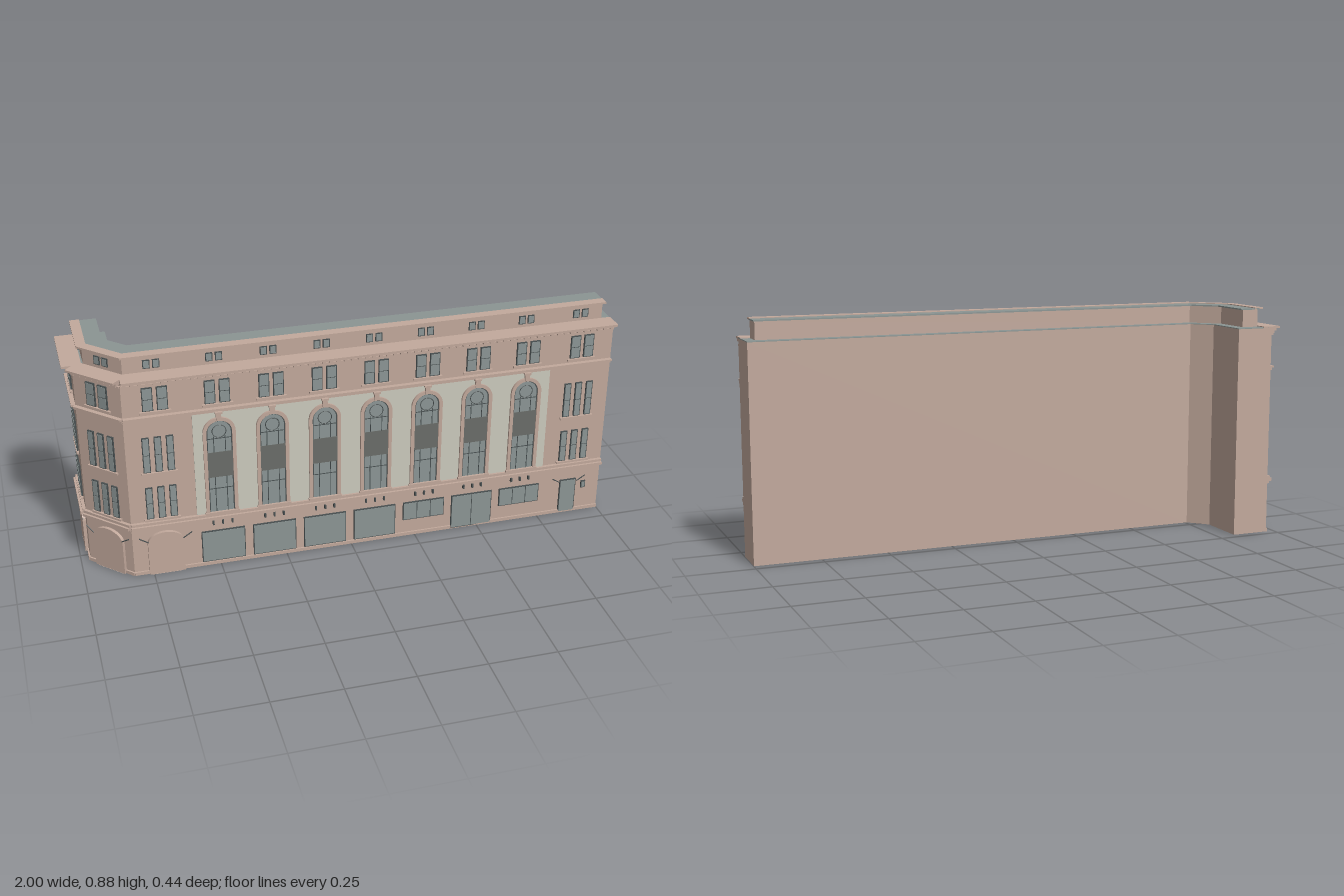
import * as THREE from 'three';

const mat = (name, color, extra = {}) => {
  const m = new THREE.MeshStandardMaterial({ color, ...extra });
  m.name = name;
  return m;
};

export function createModel() {
  const stone = mat('pink stone', 0xc2a99c);
  const cream = mat('cream panel', 0xcccabd);
  const glass = mat('window glass', 0x8c9695);
  const dark = mat('dark frame', 0x4a5152);
  const spandrel = mat('spandrel metal', 0x6a6d69);
  const roofGrey = mat('roof grey', 0x8b9593);

  const model = new THREE.Group();
  model.name = 'cornerBuilding';

  const add = (parent, name, geo, m) => {
    const mesh = new THREE.Mesh(geo, m);
    mesh.name = name;
    parent.add(mesh);
    return mesh;
  };
  // Box given by its centre x, its y range and its z range
  const slab = (p, name, m, x, w, y0, y1, z0, z1) => {
    const mesh = add(p, name, new THREE.BoxGeometry(w, y1 - y0, z1 - z0), m);
    mesh.position.set(x, (y0 + y1) / 2, (z0 + z1) / 2);
    return mesh;
  };
  // Vertical prism over a plan of [x, z] points
  const prism = (name, m, plan, y0, y1) => {
    const shape = new THREE.Shape(plan.map(([x, z]) => new THREE.Vector2(x, -z)));
    const geo = new THREE.ExtrudeGeometry(shape, { depth: y1 - y0, bevelEnabled: false });
    geo.rotateX(-Math.PI / 2).translate(0, y0, 0);
    return add(model, name, geo, m);
  };

  // Round-headed outline, rise is the height of the arch above its springing
  const archPath = (Type, hw, y0, spring, rise) => {
    const p = new Type();
    p.moveTo(-hw, y0);
    p.lineTo(hw, y0);
    p.lineTo(hw, spring);
    p.absellipse(0, spring, hw, rise, 0, Math.PI, false, 0);
    p.lineTo(-hw, y0);
    return p;
  };
  const archPlate = (p, name, m, hw, y0, spring, rise, z1, hole) => {
    const shape = archPath(THREE.Shape, hw, y0, spring, rise);
    if (hole) shape.holes.push(archPath(THREE.Path, ...hole));
    return add(p, name, new THREE.ExtrudeGeometry(shape, { depth: z1, bevelEnabled: false, curveSegments: 16 }), m);
  };

  // Framed rectangular window split into panes
  const windowAt = (p, name, x, w, y0, y1, cols = 1, rows = 1, z = 0) => {
    const g = new THREE.Group();
    g.name = name;
    p.add(g);
    const t = 0.003;
    slab(g, 'frame', dark, x, w, y0, y1, z, z + 0.006);
    const pw = (w - t * (cols + 1)) / cols, ph = (y1 - y0 - t * (rows + 1)) / rows;
    for (let c = 0; c < cols; c++) for (let r = 0; r < rows; r++) {
      const b = y0 + t + r * (ph + t);
      slab(g, 'pane', glass, x - w / 2 + t + pw / 2 + c * (pw + t), pw, b, b + ph, z, z + 0.007);
    }
  };

  // Paired windows of the top storey and the attic
  const upperPairs = (f, x) => {
    for (const s of [-1, 1]) {
      windowAt(f, 'topWindow', x + s * 0.026, 0.038, 0.672, 0.762, 1, 2);
      windowAt(f, 'atticWindow', x + s * 0.017, 0.025, 0.818, 0.85, 1, 1, -0.037);
    }
    slab(f, 'topSill', stone, x, 0.11, 0.662, 0.67, 0, 0.009);
  };
  // Triple slit windows on two storeys
  const sideBay = (f, x) => {
    for (const [y0, y1] of [[0.235, 0.364], [0.427, 0.567]]) {
      for (const k of [-1, 0, 1]) windowAt(f, 'slitWindow', x + k * 0.043, 0.026, y0, y1, 1, 2);
      slab(f, 'slitSill', stone, x, 0.13, y0 - 0.01, y0 - 0.002, 0, 0.009);
    }
    upperPairs(f, x);
  };
  const lamp = (f, x, s) => {
    const rod = add(f, 'lampArm', new THREE.CylinderGeometry(0.002, 0.002, 0.04, 6), dark);
    rod.position.set(x, 0.15, 0.012);
    rod.rotation.z = -s * 1.0;
  };
  // Arched entrance with stone surround
  const archDoor = (f, x) => {
    const g = new THREE.Group();
    g.name = 'archedEntrance';
    g.position.x = x;
    f.add(g);
    archPlate(g, 'doorSurround', stone, 0.066, 0, 0.13, 0.045, 0.012, [0.057, -0.001, 0.13, 0.036]);
    archPlate(g, 'doorFrame', dark, 0.057, 0, 0.13, 0.036, 0.007);
    archPlate(g, 'doorGlass', glass, 0.053, 0.003, 0.13, 0.032, 0.008);
    for (const k of [-0.03, 0, 0.03]) slab(g, 'doorBar', dark, k, 0.003, 0.003, 0.13, 0, 0.009);
    slab(g, 'doorTransom', dark, 0, 0.106, 0.128, 0.132, 0, 0.009);
    for (const s of [-1, 1]) lamp(g, s * 0.08, s);
  };
  // Tall arched window bay
  const archBay = (f, x) => {
    const g = new THREE.Group();
    g.name = 'archedWindow';
    g.position.x = x;
    f.add(g);
    archPlate(g, 'archSurround', stone, 0.059, 0.225, 0.557, 0.059, 0.012, [0.046, 0.226, 0.557, 0.046]);
    archPlate(g, 'archFrame', dark, 0.046, 0.226, 0.557, 0.046, 0.006);
    archPlate(g, 'archGlass', glass, 0.042, 0.23, 0.557, 0.042, 0.007);
    slab(g, 'spandrelPanel', spandrel, 0, 0.092, 0.374, 0.476, 0, 0.0085);
    for (const k of [-0.021, 0.021]) {
      slab(g, 'mullion', dark, k, 0.003, 0.23, 0.374, 0, 0.008);
      slab(g, 'mullion', dark, k, 0.003, 0.476, 0.54, 0, 0.008);
    }
    for (const y of [0.325, 0.53]) slab(g, 'transom', dark, 0, 0.084, y, y + 0.003, 0, 0.008);
    const ring = add(g, 'roundLight', new THREE.TorusGeometry(0.025, 0.0015, 6, 24), dark);
    ring.position.set(0, 0.56, 0.007);
    slab(g, 'keystone', stone, 0, 0.018, 0.606, 0.632, 0, 0.015);
    slab(g, 'keystoneCap', stone, 0, 0.026, 0.632, 0.639, 0, 0.017);
    slab(g, 'archSill', stone, 0, 0.125, 0.222, 0.23, 0, 0.015);
  };

  // String courses, cornice and dentils along one facade
  const facade = (name, len, x, z, turn) => {
    const f = new THREE.Group();
    f.name = name;
    f.position.set(x, 0, z);
    f.rotation.y = turn;
    model.add(f);
    const bands = [[0, 0.013, 0.006], [0.192, 0.201, 0.008], [0.201, 0.212, 0.02], [0.212, 0.222, 0.012],
      [0.636, 0.646, 0.007], [0.646, 0.653, 0.016], [0.772, 0.779, 0.008], [0.788, 0.797, 0.022]];
    for (const [y0, y1, d] of bands) slab(f, 'stringCourse', stone, 0, len, y0, y1, -0.002, d);
    slab(f, 'cornice', stone, 0, len, 0.797, 0.805, -0.034, 0.037);
    const n = Math.round(len / 0.026);
    for (let i = 0; i < n; i++) slab(f, 'dentil', stone, ((i + 0.5) / n - 0.5) * len, 0.012, 0.779, 0.788, 0, 0.017);
    return f;
  };

  // Body, attic and roofs
  prism('body', stone, [[1, 0.18], [-0.82, 0.18], [-0.965, 0.035], [-0.965, -0.22],
    [-0.82, -0.22], [-0.82, -0.033], [-0.755, 0.035], [1, 0.035]], 0, 0.799);
  prism('lowerRoof', roofGrey, [[1, 0.18], [-0.82, 0.18], [-0.965, 0.035], [-0.965, -0.22],
    [-0.82, -0.22], [-0.82, -0.033], [-0.755, 0.035], [1, 0.035]], 0.799, 0.802);
  prism('attic', stone, [[0.965, 0.145], [-0.805, 0.145], [-0.925, 0.025], [-0.925, -0.18],
    [-0.86, -0.18], [-0.86, -0.02], [-0.77, 0.07], [0.965, 0.07]], 0.802, 0.868);
  prism('upperRoof', roofGrey, [[0.97, 0.15], [-0.807, 0.15], [-0.93, 0.027], [-0.93, -0.186],
    [-0.85, -0.186], [-0.85, -0.012], [-0.774, 0.063], [0.97, 0.063]], 0.868, 0.873);
  prism('coping', stone, [[0.97, 0.165], [-0.813, 0.165], [-0.945, 0.033], [-0.945, -0.186],
    [-0.91, -0.186], [-0.91, 0.018], [-0.8, 0.128], [0.97, 0.128]], 0.869, 0.876);

  // Two narrow facades
  for (const f of [facade('cornerFacade', 0.207, -0.8925, 0.1075, -Math.PI / 4),
    facade('sideFacade', 0.255, -0.965, -0.0925, -Math.PI / 2)]) {
    sideBay(f, 0);
    archDoor(f, 0);
  }

  // Long front facade, local x is offset by its centre
  const front = facade('frontFacade', 1.82, 0.09, 0.18, 0);
  const cx = (x) => x - 0.09;
  slab(front, 'creamPanel', cream, cx(0.09), 1.34, 0.222, 0.637, 0, 0.004);
  sideBay(front, cx(-0.705));
  sideBay(front, cx(0.88));
  archDoor(front, cx(-0.7));
  for (let i = 0; i < 7; i++) {
    const x = cx(-0.487 + i * 0.1925);
    archBay(front, x);
    upperPairs(front, x);
    if (i < 4) windowAt(front, 'shopWindow', x, 0.162, 0.016, 0.146);
    else if (i === 5) windowAt(front, 'shopDoor', x, 0.162, 0.003, 0.146, 2);
    else windowAt(front, 'smallShopWindow', x, 0.162, 0.07, 0.146, 3);
    for (const k of [-0.035, 0, 0.035]) slab(front, 'bracket', dark, x + k, 0.006, 0.174, 0.19, 0, 0.011);
  }
  windowAt(front, 'sideDoor', cx(0.87), 0.066, 0.003, 0.146);
  for (const s of [-1, 1]) lamp(front, cx(0.87) + s * 0.05, s);
  windowAt(front, 'noticeBox', cx(0.935), 0.018, 0.1, 0.13);
  return model;
}
